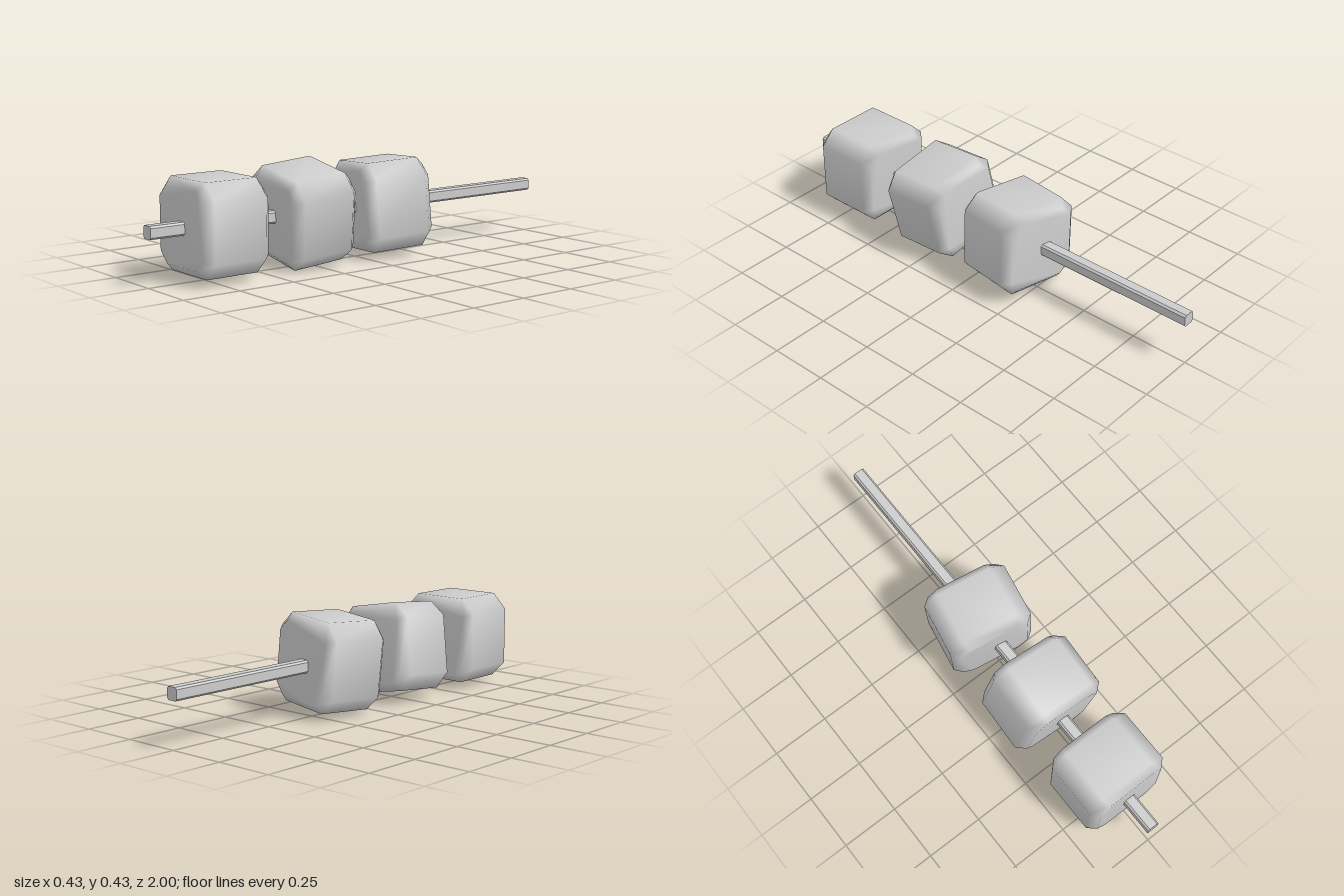
import * as THREE from 'three';
import { mergeVertices } from 'three/addons/utils/BufferGeometryUtils.js';

const AXIS_Y = 0.217;
const material = new THREE.MeshStandardMaterial({ color: 0xcccccc });
const stickMaterial = new THREE.MeshStandardMaterial({ color: 0xcccccc, flatShading: true });

// Square of half size h with its corners cut by c
function cutSquare(h, c) {
  const points = [];
  for (let i = 0; i < 4; i++) {
    for (const y of [c - h, h - c]) {
      points.push(new THREE.Vector2(h, y).rotateAround(new THREE.Vector2(), i * Math.PI / 2));
    }
  }
  return new THREE.Shape(points);
}

// Soft chamfered chunk, smooth shaded
function chunkGeometry(half, cut, depth, bevel) {
  const geometry = new THREE.ExtrudeGeometry(cutSquare(half, cut), {
    depth: depth - 2 * bevel, steps: 1,
    bevelEnabled: true, bevelSegments: 1,
    bevelSize: bevel, bevelThickness: bevel, bevelOffset: -bevel,
  });
  geometry.center();
  geometry.deleteAttribute('uv');
  geometry.deleteAttribute('normal');
  const merged = mergeVertices(geometry, 1e-4);
  merged.computeVertexNormals();
  return merged;
}

export function createModel() {
  const group = new THREE.Group();
  group.name = 'skewer';

  // Long thin stick through everything
  const stickGeometry = new THREE.ExtrudeGeometry(cutSquare(0.0265, 0.008), { depth: 2, bevelEnabled: false });
  stickGeometry.center();
  const stick = new THREE.Mesh(stickGeometry, stickMaterial);
  stick.name = 'stick';
  stick.position.y = AXIS_Y;
  group.add(stick);

  // Three chunks, the rear two knocked askew (degrees)
  const geometry = chunkGeometry(0.1875, 0.064, 0.3, 0.033);
  const chunks = [
    ['frontChunk', 0.7, 0, 0, 0],
    ['middleChunk', 0.273, 5, -2, -10],
    ['backChunk', -0.142, 3, -10, 4],
  ];
  for (const [name, z, ...angles] of chunks) {
    const chunk = new THREE.Mesh(geometry, material);
    chunk.name = name;
    chunk.position.set(0, AXIS_Y, z);
    chunk.rotation.set(...angles.map(THREE.MathUtils.degToRad));
    group.add(chunk);
  }
  return group;
}
